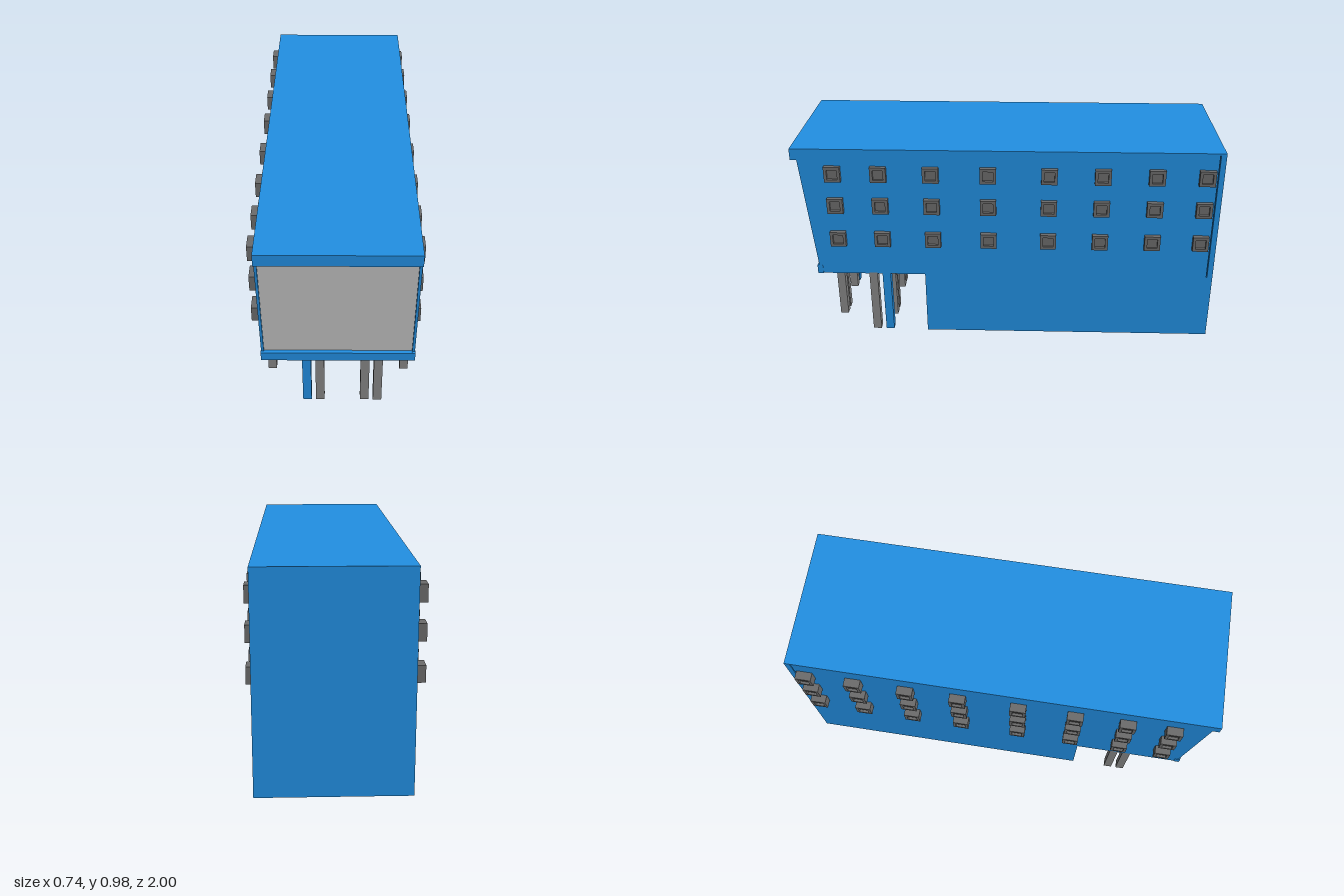
import * as THREE from 'three';

const mat = (color) => new THREE.MeshStandardMaterial({ color });
const BLUE = mat(0x2290e4), GREY = mat(0xcccccc), STONE = mat(0x878787), DARK = mat(0x6c6c6c);
const LEFT = -0.33, RIGHT = 0.345;

export function createModel() {
  const model = new THREE.Group();

  function add(name, geometry, material, parent = model) {
    const mesh = new THREE.Mesh(geometry, material);
    mesh.name = name;
    parent.add(mesh);
    return mesh;
  }

  // Box given by its limits on each axis
  function box(name, x0, x1, y0, y1, z0, z1, material, parent) {
    const g = new THREE.BoxGeometry(x1 - x0, y1 - y0, z1 - z0);
    g.translate((x0 + x1) / 2, (y0 + y1) / 2, (z0 + z1) / 2);
    return add(name, g, material, parent);
  }

  // Side profile of [z, y] points, swept from x0 to x1
  function prism(name, points, x0, x1, material) {
    const shape = new THREE.Shape(points.map(([z, y]) => new THREE.Vector2(z, y)));
    const g = new THREE.ExtrudeGeometry(shape, { depth: x1 - x0, bevelEnabled: false });
    g.rotateY(-Math.PI / 2).translate(x1, 0, 0);
    return add(name, g, material);
  }

  // Upper storeys: a core with a recessed sloping front, between two cheeks
  const profile = (inset) => [
    [-0.97, 0.325], [0.925, 0.325], [0.925, 0.368], [0.918 - inset, 0.37],
    [0.97 - inset, 0.925], [1, 0.925], [1, 0.98], [-0.97, 0.98],
  ];
  prism('upperCore', profile(0.02), LEFT + 0.012, RIGHT - 0.012, BLUE);
  prism('leftCheek', profile(0), RIGHT - 0.012, RIGHT, BLUE);
  prism('rightCheek', profile(0), LEFT, LEFT + 0.012, BLUE);
  prism('frontWindow', [[0.89, 0.369], [0.91, 0.369], [0.962, 0.925], [0.94, 0.925]],
    LEFT + 0.012, RIGHT - 0.012, GREY);
  box('frontSill', LEFT - 0.002, RIGHT + 0.002, 0.323, 0.368, 0.9, 0.927, BLUE);
  box('backSlab', LEFT, RIGHT, 0.325, 0.98, -1, -0.974, BLUE);
  box('roof', LEFT, RIGHT, 0.97, 0.981, -1, 1, BLUE);

  // Ground floor: hollow and open below, with a doorway in the front wall
  const ground = new THREE.Group();
  ground.name = 'groundFloor';
  model.add(ground);
  const T = 0.025, H = 0.33, FRONT = 0.4, D0 = -0.16, D1 = 0.17, DOOR_TOP = 0.246;
  box('leftWall', RIGHT - T, RIGHT, 0, H, -1, FRONT, BLUE, ground);
  box('rightWall', LEFT, LEFT + T, 0, H, -1, FRONT, BLUE, ground);
  box('backWall', LEFT + T, RIGHT - T, 0, H, -1, -1 + T, BLUE, ground);
  box('frontWallRight', LEFT + T, D0, 0, H, FRONT - T, FRONT, BLUE, ground);
  box('frontWallLeft', D1, RIGHT - T, 0, H, FRONT - T, FRONT, BLUE, ground);
  box('lintel', D0, D1, DOOR_TOP, H, FRONT - T, FRONT, BLUE, ground);
  box('threshold', D0, D1, 0, 0.01, FRONT - T, FRONT, BLUE, ground);
  box('ceiling', LEFT + T, RIGHT - T, 0.32, H, -1 + T, FRONT - T, BLUE, ground);

  // Double doors with round handles
  const doors = new THREE.Group();
  doors.name = 'doors';
  model.add(doors);
  const mid = (D0 + D1) / 2 + 0.002;
  box('rightDoor', D0, mid - 0.002, 0.01, DOOR_TOP, 0.372, 0.385, GREY, doors);
  box('leftDoor', mid + 0.002, D1, 0.01, DOOR_TOP, 0.372, 0.385, GREY, doors);
  box('doorSeam', mid - 0.003, mid + 0.003, 0.01, DOOR_TOP, 0.374, 0.383, DARK, doors);
  for (const side of [-1, 1]) {
    const handle = add('doorHandle', new THREE.TorusGeometry(0.0105, 0.0045, 8, 24), BLUE, doors);
    handle.position.set(mid + side * 0.022, 0.138, 0.389);
  }

  // Columns under the overhang; two of them are painted
  const columns = [
    [-0.135, 0.85, BLUE], [-0.075, 0.85], [0.13, 0.85], [0.19, 0.85],
    [-0.135, 0.59], [-0.075, 0.59], [0.13, 0.59], [0.19, 0.59],
    [-0.31, 0.655], [-0.31, 0.59], [0.325, 0.655], [0.325, 0.59, BLUE],
  ];
  for (const [x, z, material = STONE] of columns) {
    box('column', x - 0.02, x + 0.02, 0.004, 0.33, z - 0.02, z + 0.02, material);
  }

  // Windows: square frames with recessed panes, three rows on each long side
  function windowFrame(depth) {
    const s = 0.0375, h = 0.024;
    const shape = new THREE.Shape([[-s, -s], [s, -s], [s, s], [-s, s]]
      .map((p) => new THREE.Vector2(...p)));
    shape.holes.push(new THREE.Path([[-h, -h], [-h, h], [h, h], [h, -h]]
      .map((p) => new THREE.Vector2(...p))));
    return new THREE.ExtrudeGeometry(shape, { depth, bevelEnabled: false });
  }
  const sides = [
    { name: 'leftWindow', x: RIGHT, depth: 0.022, turn: Math.PI / 2 },
    { name: 'rightWindow', x: LEFT, depth: 0.04, turn: -Math.PI / 2 },
  ];
  for (const { name, x, depth, turn } of sides) {
    const frameGeo = windowFrame(depth);
    const paneGeo = new THREE.BoxGeometry(0.05, 0.05, 0.008);
    for (const y of [0.862, 0.699, 0.523]) {
      for (const z of [0.808, 0.595, 0.352, 0.086, -0.198, -0.445, -0.693, -0.922]) {
        const win = new THREE.Group();
        win.name = name;
        win.position.set(x, y, z);
        win.rotation.y = turn;
        add('windowFrame', frameGeo, DARK, win);
        add('windowPane', paneGeo, DARK, win).position.z = depth - 0.016;
        model.add(win);
      }
    }
  }
  return model;
}
